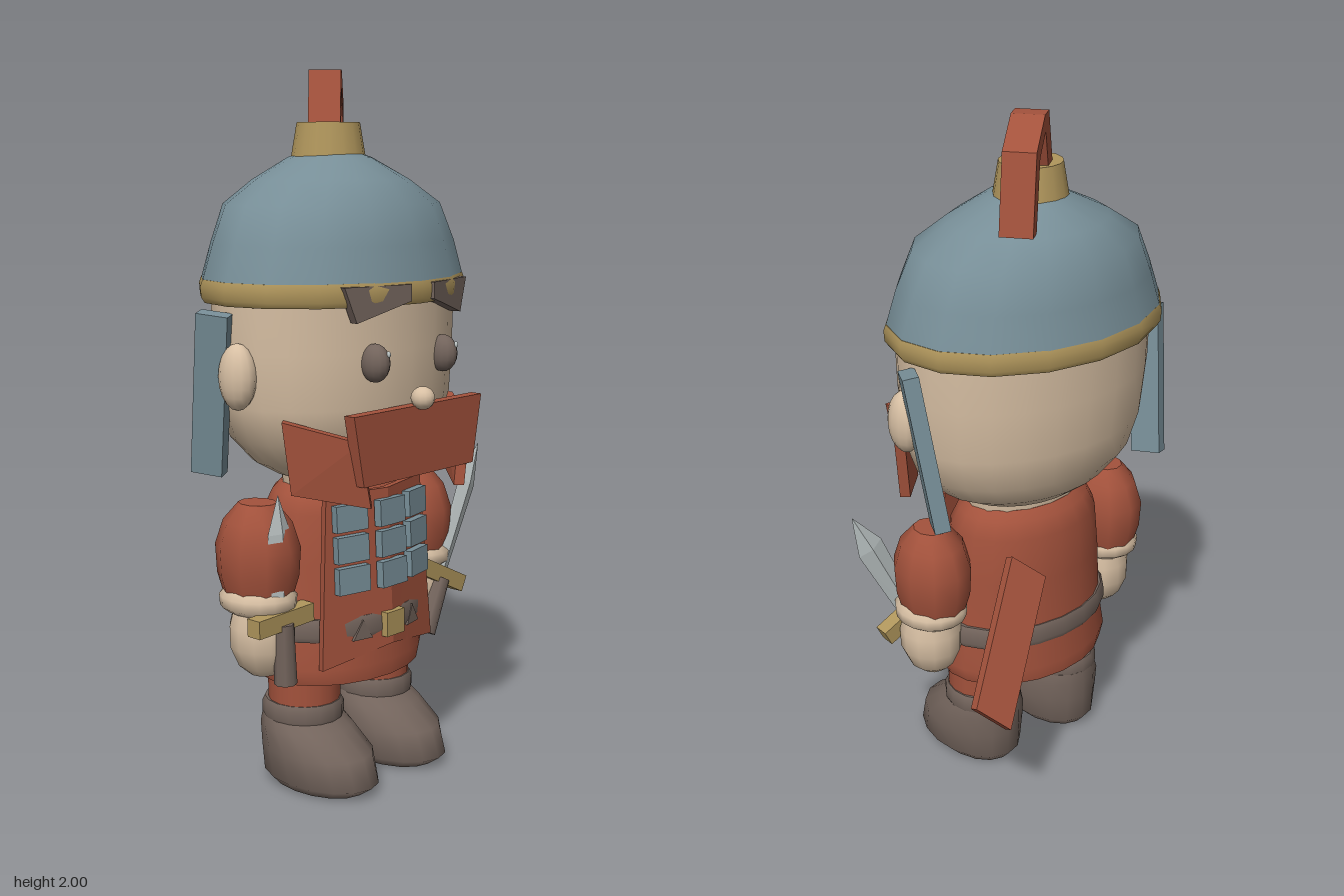
import * as THREE from 'three';

const mat = (name, color) => Object.assign(new THREE.MeshStandardMaterial({ color }), { name });
const red = mat('brick red', 0xa3523c);
const steel = mat('blue steel', 0x778e97);
const gold = mat('brass', 0xb0965c);
const skin = mat('skin', 0xd8c0a4);
const brown = mat('dark leather', 0x73645c);
const silver = mat('blade silver', 0xc0c8c8);

// Elliptical rings [y, rx, rz, cz] stacked upward and capped at both ends
function loft(rings, n = 16, flat = false) {
  const pos = [], idx = [];
  const ring = ([y, rx, rz, cz = 0]) => {
    for (let i = 0; i < n; i++) {
      const t = (i / n) * Math.PI * 2;
      pos.push(Math.sin(t) * rx, y, cz + Math.cos(t) * rz);
    }
  };
  rings.forEach(ring);
  for (let j = 0; j < rings.length - 1; j++) {
    for (let i = 0; i < n; i++) {
      const a = j * n + i, b = j * n + ((i + 1) % n);
      idx.push(a, b, a + n, b, b + n, a + n);
    }
  }
  [rings[0], rings[rings.length - 1]].forEach((r, top) => {
    const s = pos.length / 3;
    ring(r);
    for (let i = 1; i < n - 1; i++) idx.push(s, top ? s + i : s + i + 1, top ? s + i + 1 : s + i);
  });
  let g = new THREE.BufferGeometry();
  g.setAttribute('position', new THREE.Float32BufferAttribute(pos, 3));
  g.setIndex(idx);
  if (flat) g = g.toNonIndexed();
  g.computeVertexNormals();
  return g;
}

// Flat plate: corners anticlockwise from outside, thickened inward
function slab(corners, thick) {
  const p = corners.map((c) => new THREE.Vector3(...c));
  const normal = p[1].clone().sub(p[0]).cross(p[2].clone().sub(p[0])).normalize();
  const q = p.map((v) => v.clone().addScaledVector(normal, -thick));
  const tris = [], n = p.length;
  for (let i = 1; i < n - 1; i++) tris.push(p[0], p[i], p[i + 1], q[0], q[i + 1], q[i]);
  for (let i = 0; i < n; i++) {
    const k = (i + 1) % n;
    tris.push(p[i], q[i], q[k], p[i], q[k], p[k]);
  }
  const g = new THREE.BufferGeometry().setFromPoints(tris);
  g.computeVertexNormals();
  return g;
}

export function createModel() {
  const root = new THREE.Group();
  const figure = new THREE.Group();
  figure.name = 'soldier';
  figure.position.x = -0.037;
  root.add(figure);

  const add = (name, geo, material, [x, y, z] = [0, 0, 0], parent = figure) => {
    const m = new THREE.Mesh(geo, material);
    m.name = name;
    m.position.set(x, y, z);
    parent.add(m);
    return m;
  };
  const ball = (name, material, pos, [rx, ry, rz]) =>
    add(name, new THREE.SphereGeometry(1, 14, 10).scale(rx, ry, rz), material, pos);
  const pairedSlab = (name, corners, thick, material) => {
    add(name + 'Left', slab(corners, thick), material);
    add(name + 'Right', slab(corners.map(([x, y, z]) => [-x, y, z]).reverse(), thick), material);
  };

  // Head and helmet
  add('head', loft([[0.89, 0.2, 0.15, 0.03], [0.93, 0.275, 0.2, 0.03], [1.0, 0.345, 0.25, 0.03],
    [1.1, 0.38, 0.275, 0.03], [1.25, 0.392, 0.285, 0.025], [1.4, 0.395, 0.288, 0.025]], 24), skin);
  add('neck', loft([[0.82, 0.18, 0.13, 0.035], [0.9, 0.19, 0.135, 0.035]]), skin);
  add('helmetDome', loft([[1.43, 0.42, 0.32, 0.02], [1.53, 0.385, 0.3, 0.02], [1.635, 0.337, 0.272, 0.015],
    [1.7, 0.235, 0.205, 0.01], [1.76, 0.11, 0.125, 0.005], [1.785, 0.05, 0.05]]), steel);
  add('helmetBrim', loft([[1.375, 0.412, 0.315, 0.02], [1.39, 0.423, 0.323, 0.02],
    [1.42, 0.425, 0.325, 0.02], [1.438, 0.419, 0.318, 0.02]]), gold);
  add('helmetKnob', new THREE.CylinderGeometry(0.088, 0.105, 0.1, 16), gold, [0, 1.805, 0]);

  // Bent crest rising from the knob and trailing to the back left
  const crest = new THREE.Shape([[-0.03, 1.82], [0.035, 2.0], [0.09, 2.0], [0.2, 1.93], [0.245, 1.72],
    [0.2, 1.72], [0.155, 1.905], [0.08, 1.955], [0.03, 1.82]].map((p) => new THREE.Vector2(...p)));
  add('crest', new THREE.ExtrudeGeometry(crest, { depth: 0.09, bevelEnabled: false })
    .translate(0, 0, -0.045), red, [0, 0, -0.015]).rotation.y = 0.7;

  // Face
  for (const s of [1, -1]) {
    ball('ear', skin, [s * 0.4, 1.19, 0.043], [0.045, 0.09, 0.057]);
    ball('eye', brown, [s * 0.143, 1.225, 0.3], [0.035, 0.052, 0.045]);
    ball('eyeGlint', silver, [s * 0.143 + 0.01, 1.25, 0.338], [0.006, 0.009, 0.006]);
    const flap = add('cheekGuard', new THREE.BoxGeometry(0.045, 0.45, 0.09), steel, [s * 0.405, 1.135, -0.052]);
    flap.rotation.set(0.12, -s * 0.45, -s * 0.1);
  }
  ball('nose', skin, [0, 1.12, 0.347], [0.032, 0.032, 0.034]);
  pairedSlab('brow', [[0.048, 1.385, 0.345], [0.217, 1.335, 0.302], [0.254, 1.43, 0.292], [0.048, 1.43, 0.345]],
    0.03, brown);
  add('beardFront', slab([[-0.23, 0.907, 0.34], [0.235, 0.907, 0.34], [0.27, 1.1, 0.34], [-0.27, 1.1, 0.34]],
    0.035), red);
  pairedSlab('beardSide', [[0.2, 0.845, 0.338], [0.338, 0.88, 0.178], [0.36, 1.077, 0.165], [0.235, 1.025, 0.33]],
    0.03, red);

  // Tunic, belt and front panels
  add('tunic', loft([[0.315, 0.27, 0.2, 0.04], [0.36, 0.284, 0.205, 0.04], [0.47, 0.265, 0.193, 0.04],
    [0.65, 0.25, 0.188, 0.035], [0.79, 0.235, 0.178, 0.032], [0.84, 0.21, 0.155, 0.032],
    [0.865, 0.18, 0.13, 0.032]], 20), red);
  add('belt', loft([[0.44, 0.277, 0.198, 0.04], [0.455, 0.284, 0.204, 0.04], [0.49, 0.282, 0.203, 0.04],
    [0.505, 0.272, 0.196, 0.04]], 20), brown);
  pairedSlab('tunicPanel', [[0, 0.41, 0.25], [0.235, 0.37, 0.195], [0.2, 0.855, 0.175], [0, 0.855, 0.225]],
    0.02, red);
  pairedSlab('beltPeek', [[0.075, 0.44, 0.238], [0.14, 0.44, 0.224], [0.106, 0.495, 0.23]], 0.009, brown);
  add('buckle', new THREE.BoxGeometry(0.075, 0.07, 0.03), gold, [0, 0.47, 0.243]);

  // Armour plates in three columns and rows
  for (let c = -1; c <= 1; c++) {
    for (let r = 0; r < 3; r++) {
      const plate = add('armourPlate', new THREE.BoxGeometry(0.104, 0.074, 0.024), steel,
        [c * 0.137, 0.79 - r * 0.087, (c ? 0.207 : 0.233) + r * 0.005]);
      plate.rotation.set(-0.05, c * 0.23, 0);
    }
  }

  // Arms, legs and boots
  for (const s of [1, -1]) {
    add('sleeve', loft([[0.575, 0.088, 0.1], [0.64, 0.106, 0.12], [0.72, 0.11, 0.125],
      [0.79, 0.09, 0.1], [0.84, 0.05, 0.055]], 10), red, [s * 0.328, 0, 0.04]).rotation.z = 0;
    add('cuff', loft([[0.54, 0.08, 0.09], [0.555, 0.1, 0.11], [0.585, 0.102, 0.113], [0.605, 0.085, 0.095]]),
      skin, [s * 0.333, 0, 0.045]);
    add('hand', loft([[0.36, 0.035, 0.04], [0.385, 0.065, 0.07], [0.44, 0.09, 0.092], [0.5, 0.092, 0.092],
      [0.56, 0.075, 0.08]], 12), skin, [s * 0.328, 0, 0.055]);
    add('leg', new THREE.CylinderGeometry(0.103, 0.103, 0.18, 16), red, [s * 0.152, 0.28, 0.045]);
    add('bootCuff', loft([[0.185, 0.108, 0.115], [0.2, 0.114, 0.12], [0.23, 0.114, 0.12], [0.245, 0.106, 0.112]]),
      brown, [s * 0.152, 0, 0.04]);
    add('boot', loft([[0, 0.1, 0.155, 0.1], [0.03, 0.13, 0.19, 0.108], [0.11, 0.135, 0.178, 0.093],
      [0.17, 0.125, 0.138, 0.052], [0.205, 0.108, 0.11, 0.03]]), brown, [s * 0.15, 0, 0]);
  }

  // Short swords, each built upward from the guard
  const sword = (name, x, y, tilt, length) => {
    const g = new THREE.Group();
    g.name = name;
    g.position.set(x, y, 0.135);
    g.rotation.z = tilt;
    figure.add(g);
    add('blade', loft([[0, 0.03, 0.012], [length * 0.7, 0.042, 0.015], [length, 0.001, 0.001]], 4, true),
      silver, [0, 0, 0], g);
    add('guard', new THREE.BoxGeometry(0.21, 0.05, 0.046), gold, [0, 0, 0], g);
    add('grip', new THREE.CylinderGeometry(0.027, 0.032, 0.17, 8), brown, [0, -0.095, 0.01], g);
  };
  sword('swordLeft', 0.347, 0.515, -0.45, 0.42);
  sword('swordRight', -0.335, 0.53, 0.03, 0.345);

  // Cloth tail flying out behind
  add('clothTail', slab([[0.37, 0.395, -0.38], [0.12, 0.72, -0.222], [0.21, 0.8, -0.183], [0.457, 0.48, -0.339]],
    0.03), red);
  return root;
}
